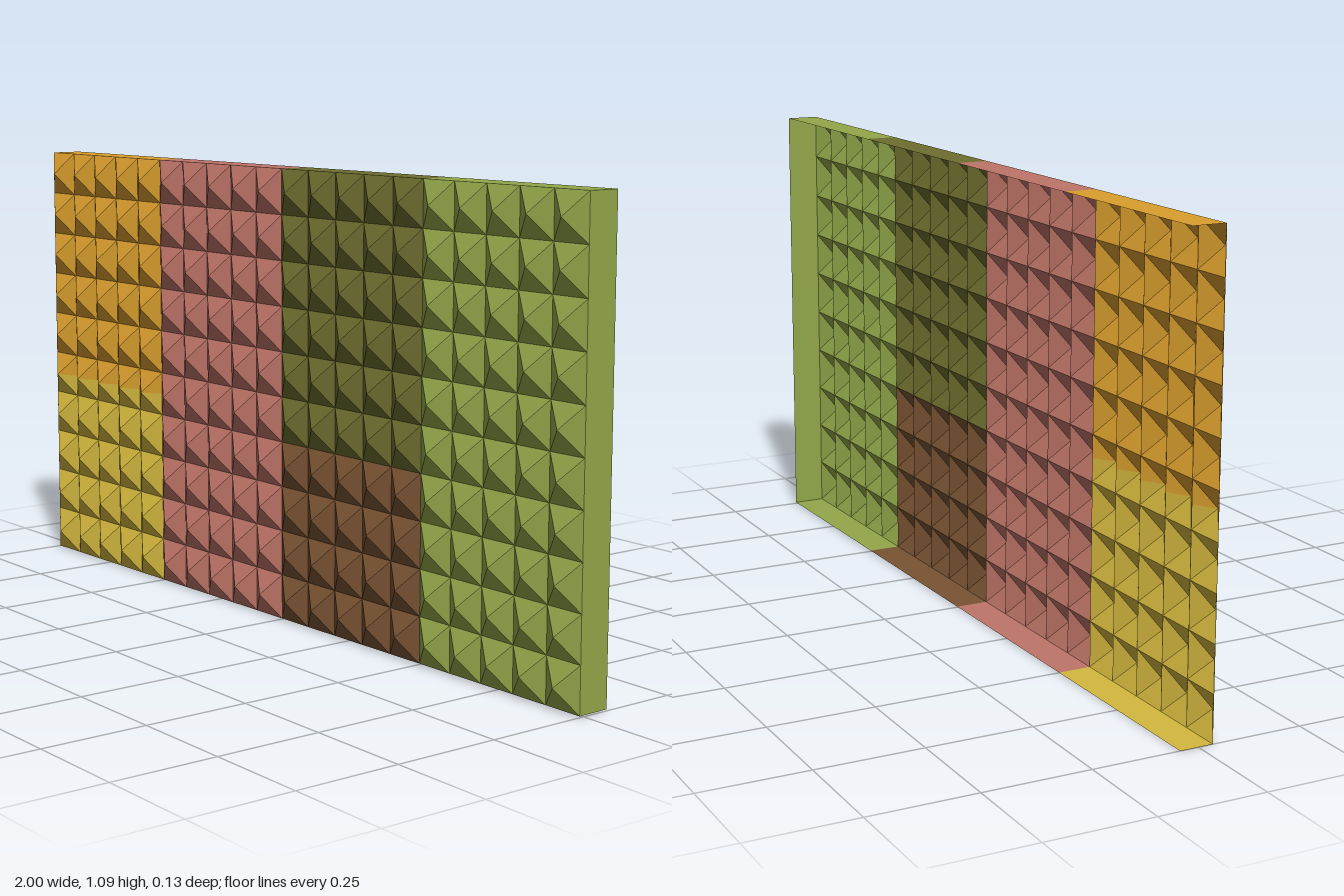
import * as THREE from 'three';

const COLS = 20, ROWS = 10, W = 2 / COLS, H = 0.1083;
const PEAK = 0.031, DEPTH = 0.079, TOP = ROWS * H;

function material(name, color) {
  const m = new THREE.MeshStandardMaterial({ color, side: THREE.DoubleSide, flatShading: true });
  m.name = name;
  return m;
}

// Thin faceted mesh from a flat list of triangle corners
function surface(name, corners, mat) {
  const g = new THREE.BufferGeometry();
  g.setAttribute('position', new THREE.Float32BufferAttribute(corners.flat(), 3));
  g.computeVertexNormals();
  const mesh = new THREE.Mesh(g, mat);
  mesh.name = name;
  return mesh;
}

const quad = (a, b, c, d) => [a, b, c, a, c, d];

// Upper and lower half of one pyramid stud, split level with its tip
function studHalves(col, row) {
  const x0 = -1 + col * W, x1 = x0 + W, y0 = row * H, y1 = y0 + H, ym = y0 + H / 2;
  const tip = [x0 + W / 2, ym, PEAK];
  const bl = [x0, y0, 0], br = [x1, y0, 0], tr = [x1, y1, 0], tl = [x0, y1, 0];
  const ml = [x0, ym, 0], mr = [x1, ym, 0];
  return {
    lower: [bl, br, tip, br, mr, tip, ml, bl, tip],
    upper: [mr, tr, tip, tr, tl, tip, tl, ml, tip],
  };
}

export function createModel() {
  const orange = material('orange', 0xdb9f2e);
  const yellow = material('yellow', 0xd4b83e);
  const pink = material('dusty pink', 0xbf7568);
  const olive = material('olive', 0x6e6e30);
  const brown = material('brown', 0x7a5433);
  const green = material('green', 0x93a84a);

  // Each section is five studs wide; "split" is the height in rows where its colour changes
  const sections = [
    { low: yellow, high: orange, split: 4.5 },
    { low: pink, high: pink, split: 5 },
    { low: brown, high: olive, split: 4 },
    { low: green, high: green, split: 5 },
  ];

  const panel = new THREE.Group();
  panel.name = 'studdedPanel';

  sections.forEach((s, i) => {
    const lowStuds = [], highStuds = [];
    for (let c = i * 5; c < i * 5 + 5; c++) {
      for (let r = 0; r < ROWS; r++) {
        const { lower, upper } = studHalves(c, r);
        (r < s.split ? lowStuds : highStuds).push(...lower);
        (r + 0.5 < s.split ? lowStuds : highStuds).push(...upper);
      }
    }
    panel.add(surface('lowerStuds', lowStuds, s.low));
    panel.add(surface('upperStuds', highStuds, s.high));

    // Rims running back along the top and bottom
    const x0 = -1 + i * 0.5, x1 = x0 + 0.5;
    panel.add(surface('topRim',
      quad([x0, TOP, 0], [x1, TOP, 0], [x1, TOP, -DEPTH], [x0, TOP, -DEPTH]), s.high));
    panel.add(surface('bottomRim',
      quad([x0, 0, -DEPTH], [x1, 0, -DEPTH], [x1, 0, 0], [x0, 0, 0]), s.low));
  });

  // Only one end is closed
  panel.add(surface('endRim',
    quad([1, 0, 0], [1, 0, -DEPTH], [1, TOP, -DEPTH], [1, TOP, 0]), green));

  // Slight skew of the whole panel
  panel.rotation.set(0, 0.012, 0.0015);
  panel.position.set(0, 0.0015, 0.023);

  const model = new THREE.Group();
  model.name = 'wallPanel';
  model.add(panel);
  return model;
}
